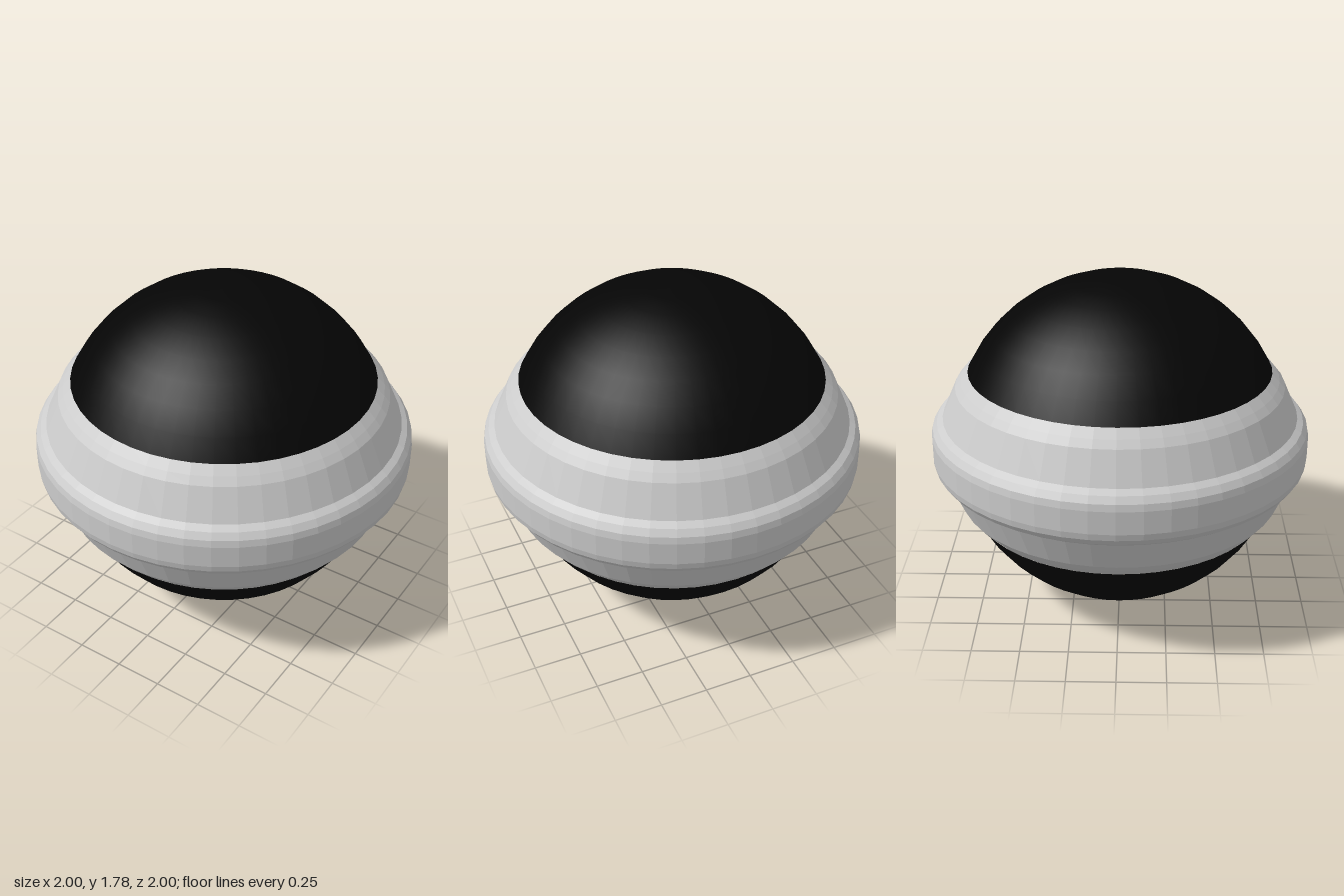
import * as THREE from 'three';

const MID = 0.89; // height of the symmetry plane
const SEGMENTS = 48;

// Revolve [radius, height above the middle] points listed bottom to top
function revolve(name, points, material) {
  const profile = points.map(([r, h]) => new THREE.Vector2(r, MID + h));
  const mesh = new THREE.Mesh(new THREE.LatheGeometry(profile, SEGMENTS), material);
  mesh.name = name;
  return mesh;
}

// Flip a profile below the middle, keeping bottom-to-top order
const mirrored = (points) => points.map(([r, h]) => [r, -h]).reverse();

export function createModel() {
  const model = new THREE.Group();
  model.name = 'bandedSphere';

  const grey = new THREE.MeshStandardMaterial({ color: 0xcccccc, flatShading: true });
  const black = new THREE.MeshStandardMaterial({ color: 0x050505 });

  // Dark spherical domes closing the top and bottom
  const dome = [];
  const start = Math.atan2(0.395, 0.795);
  const steps = 8;
  for (let i = 0; i <= steps; i++) {
    const angle = start + (Math.PI / 2 - start) * (i / steps);
    dome.push([0.888 * Math.cos(angle), 0.888 * Math.sin(angle)]);
  }
  model.add(revolve('topDome', dome, black));
  model.add(revolve('bottomDome', mirrored(dome), black));

  // Sloped shoulders between the domes and the central ring
  const shoulder = [[0.938, 0.15], [0.865, 0.315], [0.835, 0.352], [0.795, 0.395]];
  model.add(revolve('upperShoulder', shoulder, grey));
  model.add(revolve('lowerShoulder', mirrored(shoulder), grey));

  // Raised ring around the equator
  const rim = [[1, 0.06], [0.993, 0.095], [0.97, 0.128], [0.938, 0.15]];
  model.add(revolve('equatorRing', [...mirrored(rim), ...rim], grey));

  return model;
}
